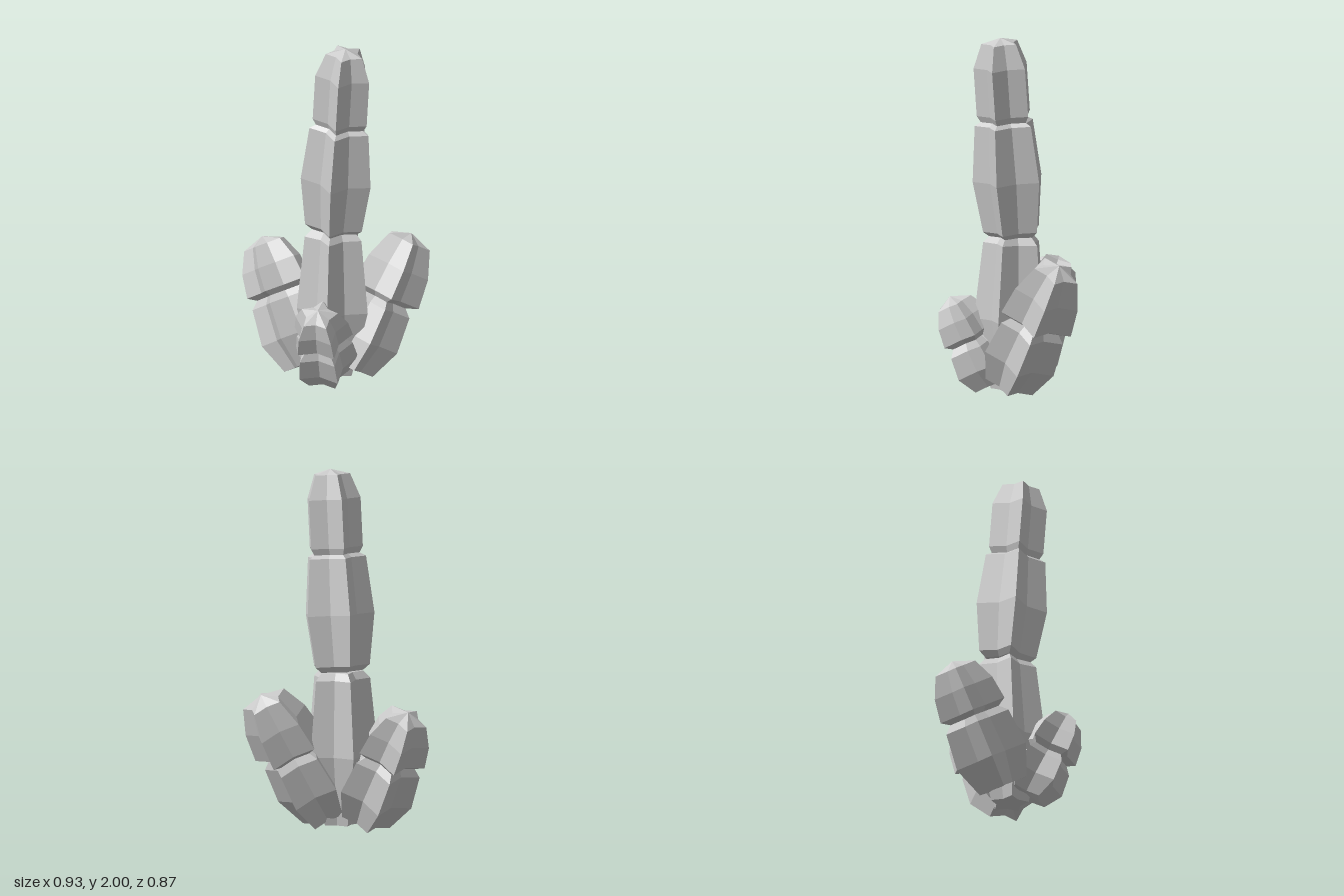
import * as THREE from 'three';

const RIBS = 5;
const VALLEY = 0.64; // valley radius relative to rib radius

// Faceted star-section body from [distance along axis, rib radius] rings
function starBody(profile, phase) {
  const n = RIBS * 2;
  const rings = profile.map(([s, r]) => Array.from({ length: n }, (_, i) => {
    const a = phase + (i * Math.PI) / RIBS;
    const q = i % 2 ? r * VALLEY : r;
    return [q * Math.cos(a), s, q * Math.sin(a)];
  }));
  const pos = [];
  for (let k = 0; k < rings.length - 1; k++) {
    const lo = rings[k], hi = rings[k + 1];
    for (let i = 0; i < n; i++) {
      const j = (i + 1) % n;
      if (profile[k][1] > 0) pos.push(...lo[j], ...lo[i], ...hi[i]);
      if (profile[k + 1][1] > 0) pos.push(...lo[j], ...hi[i], ...hi[j]);
    }
  }
  const geo = new THREE.BufferGeometry();
  geo.setAttribute('position', new THREE.Float32BufferAttribute(pos, 3));
  geo.computeVertexNormals();
  return geo;
}

// Swollen lower joint, pinched neck, tapering upper joint with a pointed cap
function armProfile(length, neck, lower, upper) {
  return [
    [0.05, 0], [0.035, lower * 0.68], [neck * 0.46, lower], [neck - 0.04, lower * 0.9],
    [neck, lower * 0.7], [neck + 0.03, upper], [(neck + length) / 2, upper * 0.9],
    [length - 0.045, upper * 0.62], [length, 0],
  ];
}

export function createModel() {
  const model = new THREE.Group();
  model.name = 'cactus';
  const material = new THREE.MeshStandardMaterial({ color: 0xcccccc, flatShading: true });

  // Stem standing along the line from base to tip
  function addStem(name, base, tip, phaseDeg, makeProfile) {
    const from = new THREE.Vector3(...base);
    const axis = new THREE.Vector3(...tip).sub(from);
    const length = axis.length();
    const geo = starBody(makeProfile(length), THREE.MathUtils.degToRad(phaseDeg));
    const mesh = new THREE.Mesh(geo, material);
    mesh.name = name;
    mesh.position.copy(from);
    mesh.quaternion.setFromUnitVectors(new THREE.Vector3(0, 1, 0), axis.normalize());
    model.add(mesh);
  }

  // Trunk: upright lower joint, then two joints leaning slightly forward
  addStem('trunkLower', [-0.075, 0, 0.14], [-0.06, 0.91, 0.13], 1, (len) => [
    [0.05, 0], [0.03, 0.11], [0.42, 0.21], [0.845, 0.168], [0.885, 0.13], [len, 0],
  ]);
  addStem('trunkUpper', [-0.06, 0.885, 0.13], [-0.075, 2, 0.23], 1, (len) => [
    [-0.02, 0], [0, 0.13], [0.03, 0.168], [0.315, 0.207], [0.63, 0.175], [0.65, 0.14],
    [0.685, 0.16], [0.955, 0.16], [1.09, 0.108], [len, 0],
  ]);

  // Side arms, each with one rib facing the trunk
  addStem('leftArm', [-0.045, 0.045, 0.205], [0.378, 0.775, 0.283], 197,
    (len) => armProfile(len, 0.455, 0.212, 0.215));
  addStem('rightArm', [-0.155, 0.03, 0.165], [-0.365, 0.54, 0.312], -32,
    (len) => armProfile(len, 0.305, 0.186, 0.174));
  addStem('backArm', [-0.15, 0.04, 0.035], [-0.135, 0.705, -0.373], 85,
    (len) => armProfile(len, 0.455, 0.216, 0.2));

  return model;
}
